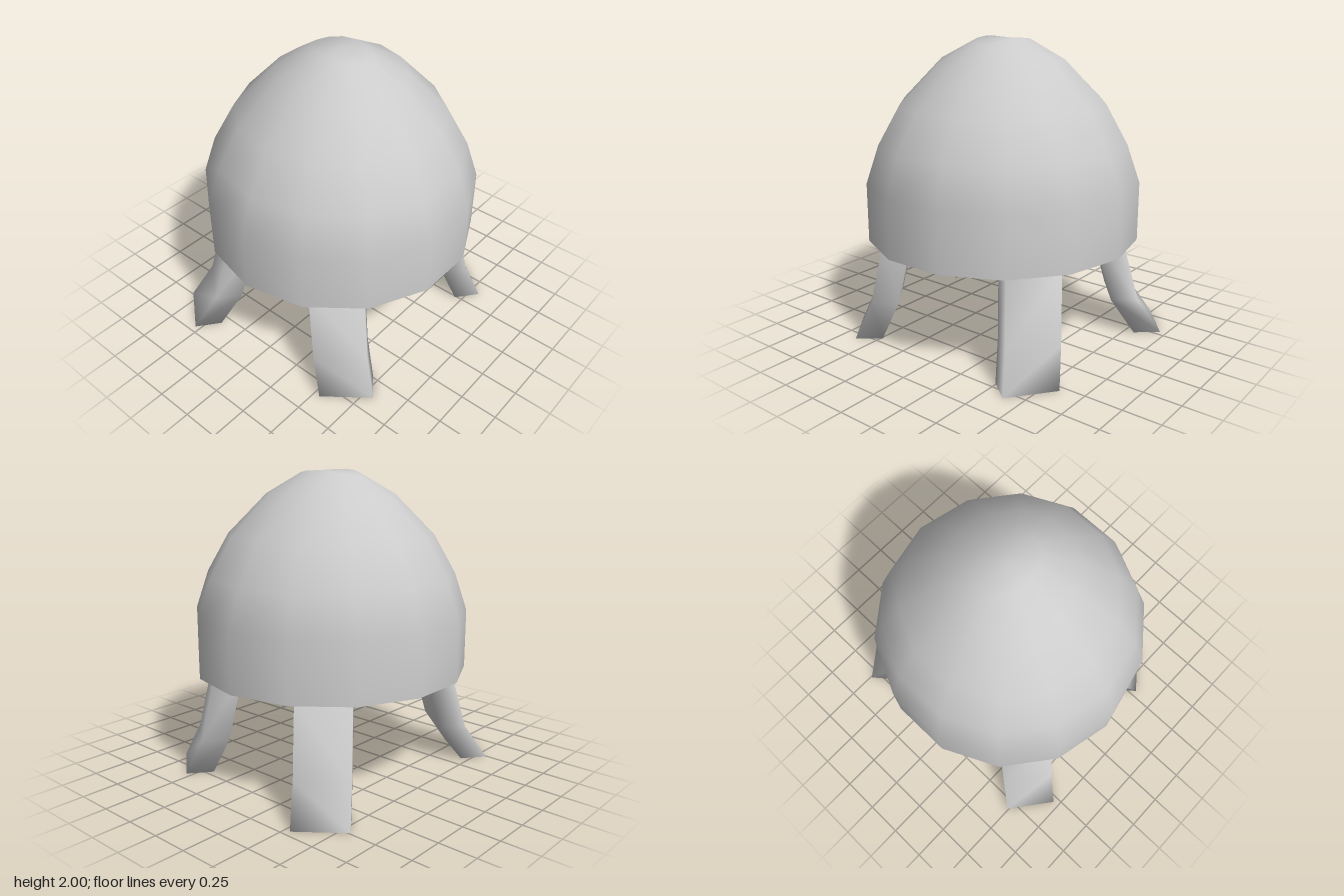
import * as THREE from 'three';

const material = new THREE.MeshStandardMaterial({ color: 0xcccccc, side: THREE.DoubleSide });

function indexed(points, faces) {
  const g = new THREE.BufferGeometry();
  g.setAttribute('position', new THREE.Float32BufferAttribute(points, 3));
  g.setIndex(faces);
  g.computeVertexNormals();
  return g;
}

// Skin stacked rings of n points each, listed from bottom to top
function skin(faces, rings, n) {
  for (let r = 0; r < rings - 1; r++) {
    for (let i = 0; i < n; i++) {
      const a = r * n + i, b = r * n + (i + 1) % n;
      faces.push(a, a + n, b, b, a + n, b + n);
    }
  }
}

// Fourteen-sided dome whose crown narrows slightly more along x than z
function domeGeometry() {
  const n = 14;
  // [radius x, height on the x axis, radius z, height on the z axis]
  const rings = [
    [0.91, 0.69, 0.91, 0.69],
    [0.91, 1.08, 0.91, 1.08],
    [0.82, 1.33, 0.83, 1.33],
    [0.675, 1.59, 0.687, 1.58],
    [0.4, 1.87, 0.44, 1.83],
    [0.15, 2.0, 0.225, 1.97],
  ];
  const points = [], faces = [];
  for (const [rx, yx, rz, yz] of rings) {
    for (let i = 0; i < n; i++) {
      const a = (i / n) * Math.PI * 2, s = Math.sin(a);
      points.push(rx * Math.cos(a), yx + (yz - yx) * s * s, rz * s);
    }
  }
  skin(faces, rings.length, n);
  // Crown fan
  const top = points.length / 3, last = top - n;
  points.push(0, 2, 0);
  for (let i = 0; i < n; i++) faces.push(last + i, top, last + (i + 1) % n);
  return indexed(points, faces);
}

// Bent rectangular leg; path gives the middle of its outer face as [x, y, z]
function legGeometry(path, sx, sz) {
  const out = [0.78, 0.62], half = 0.175, thick = 0.185;
  const corners = [[0, -half], [0, half], [-thick, half], [-thick, -half]];
  const points = [], faces = [];
  for (const [x, y, z] of path) {
    for (const [o, w] of corners) {
      points.push(sx * (x + out[0] * o - out[1] * w), y, sz * (z + out[1] * o + out[0] * w));
    }
  }
  skin(faces, path.length, 4);
  const t = (path.length - 1) * 4;
  faces.push(0, 1, 2, 0, 2, 3, t, t + 2, t + 1, t, t + 3, t + 2);
  // Mirroring on one axis turns the faces over
  if (sx * sz < 0) faces.reverse();
  return indexed(points, faces);
}

export function createModel() {
  const group = new THREE.Group();
  const add = (name, geometry) => {
    const mesh = new THREE.Mesh(geometry, material);
    mesh.name = name;
    group.add(mesh);
    return mesh;
  };

  add('dome', domeGeometry());

  // Flat underside with a vertex on the x axis
  const underside = add('underside', new THREE.CircleGeometry(0.91, 14));
  underside.rotation.x = Math.PI / 2;
  underside.position.y = 0.69;

  // Back feet splay further out than the front ones
  const frontPath = [[0.74, 0, 0.68], [0.68, 0.24, 0.58], [0.62, 0.7, 0.495]];
  const backPath = [[0.85, 0, 0.675], [0.72, 0.24, 0.575], [0.62, 0.7, 0.495]];
  for (const [side, sx] of [['Left', 1], ['Right', -1]]) {
    add('front' + side + 'Leg', legGeometry(frontPath, sx, 1));
    add('back' + side + 'Leg', legGeometry(backPath, sx, -1));
  }
  return group;
}
